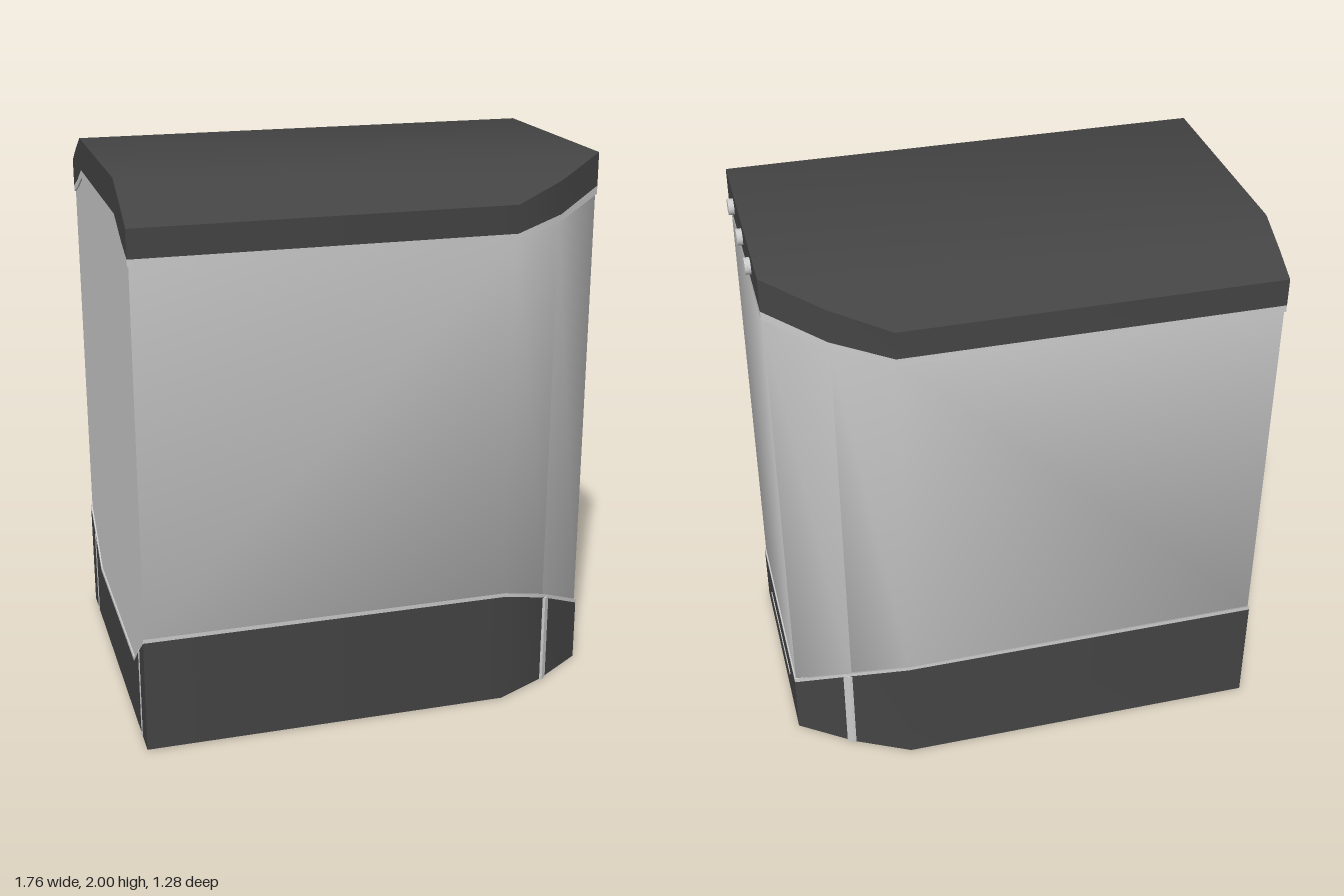
import * as THREE from 'three';
import { toCreasedNormals } from 'three/addons/utils/BufferGeometryUtils.js';

// Plan outline: |z| stations from the side to the flat end, and the +x reach at each
const Z = [0.64, 0.54, 0.405];
const REACH = [0.46, 0.66, 0.855];
const BACK = -0.88;

// Heights at the three stations
const ROOF = [1.88, 1.935, 2];
const CAP_BOTTOM = [1.78, 1.815, 1.88];
const UPPER_TRIM = [1.755, 1.79, 1.85];
const LOWER_TRIM = [0.435, 0.36, 0.25];
const BASE_TOP = [0.42, 0.345, 0.235];
const FLOOR = [0.003, 0.003, 0.003];

// Solid running along x, chamfered in plan at +x, between two stepped height profiles
function prism(bottom, top, inset, crease) {
  const pos = [];
  const quad = (a, b, c, d) => pos.push(...a, ...b, ...c, ...a, ...c, ...d);
  const station = (i, side) => {
    const z = side * (Z[i] - inset), x0 = BACK + inset, x1 = REACH[i] - inset;
    return {
      at: [x0, top[i], z], ab: [x0, bottom[i], z],
      bt: [x1, top[i], z], bb: [x1, bottom[i], z],
    };
  };
  const s = [station(0, -1), station(1, -1), station(2, -1), station(2, 1), station(1, 1), station(0, 1)];
  for (let k = 0; k < s.length - 1; k++) {
    const p = s[k], q = s[k + 1];
    quad(p.at, q.at, q.bt, p.bt);
    quad(p.ab, p.bb, q.bb, q.ab);
    quad(p.bb, p.bt, q.bt, q.bb);
    quad(p.ab, q.ab, q.at, p.at);
  }
  const f = s[5], r = s[0];
  quad(f.ab, f.bb, f.bt, f.at);
  quad(r.ab, r.at, r.bt, r.bb);
  const g = new THREE.BufferGeometry();
  g.setAttribute('position', new THREE.Float32BufferAttribute(pos, 3));
  return toCreasedNormals(g, crease);
}

export function createModel() {
  const model = new THREE.Group();
  const grey = new THREE.MeshStandardMaterial({ color: 0xcccccc });
  const dark = new THREE.MeshStandardMaterial({ color: 0x444444 });
  const add = (name, geometry, material) => {
    const mesh = new THREE.Mesh(geometry, material);
    mesh.name = name;
    model.add(mesh);
    return mesh;
  };

  // Main stack: base, body, cap and the trim bands between them
  add('base', prism(FLOOR, BASE_TOP, 0, 0.6), dark);
  add('lowerTrim', prism(BASE_TOP, LOWER_TRIM, 0, 0.6), grey);
  add('body', prism(LOWER_TRIM, UPPER_TRIM, 0.005, 1.05), grey);
  add('upperTrim', prism(UPPER_TRIM, CAP_BOTTOM, 0, 0.6), grey);
  add('cap', prism(CAP_BOTTOM, ROOF, 0, 0.6), dark);

  // Thin inlays that wrap the base lengthwise, mitred to the chamfer
  for (const side of [1, -1]) {
    const shape = new THREE.Shape([
      new THREE.Vector2(BACK - 0.002, 0.525), new THREE.Vector2(0.685, 0.525),
      new THREE.Vector2(0.665, 0.543), new THREE.Vector2(BACK - 0.002, 0.543),
    ].map((v) => new THREE.Vector2(v.x, side * v.y)));
    const g = new THREE.ExtrudeGeometry(shape, { depth: 0.343, bevelEnabled: false });
    g.rotateX(-Math.PI / 2);
    add(side > 0 ? 'rightInlay' : 'leftInlay', g, grey);
  }

  // Slot on the end of the base
  add('slot', new THREE.BoxGeometry(0.01, 0.014, 0.49), grey).position.set(0.853, 0.13, 0.005);

  // Row of buttons on the end of the cap
  for (const z of [0.228, 0, -0.205]) {
    const g = new THREE.CylinderGeometry(0.029, 0.029, 0.03, 20);
    g.rotateZ(-Math.PI / 2);
    add('button', g, grey).position.set(0.86, 1.94, z);
  }
  return model;
}
